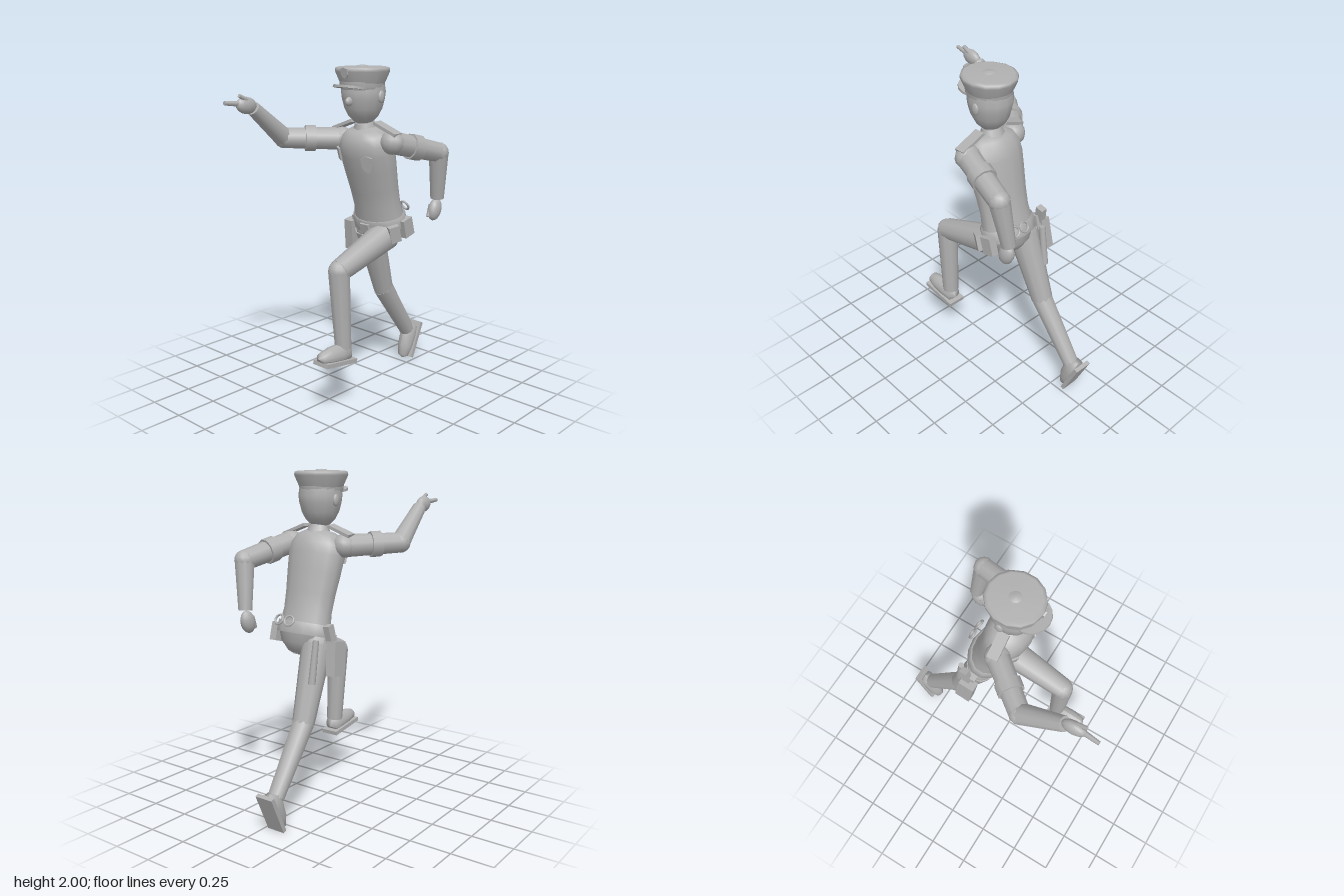
import * as THREE from 'three';

const V = (x, y, z) => new THREE.Vector3(x, y, z);

export function createModel() {
  const model = new THREE.Group();
  const grey = new THREE.MeshStandardMaterial({ color: 0xb0b0b0 });
  grey.name = 'grey';

  const add = (name, geo, pos = [0, 0, 0], rot = [0, 0, 0], parent = model) => {
    const mesh = new THREE.Mesh(geo, grey);
    mesh.name = name;
    mesh.position.set(...pos);
    mesh.rotation.set(...rot);
    parent.add(mesh);
    return mesh;
  };
  const box = (w, h, d) => new THREE.BoxGeometry(w, h, d);
  const ball = (x, y, z) => new THREE.SphereGeometry(1, 12, 8).scale(x, y, z);
  const lathe = (pts, depth = 1) =>
    new THREE.LatheGeometry(pts.map(p => new THREE.Vector2(...p)), 14).scale(1, 1, depth);
  // Aim a mesh's y axis from a to b
  const between = (name, geo, a, b) => {
    const mesh = add(name, geo, a.clone().add(b).multiplyScalar(0.5).toArray());
    mesh.quaternion.setFromUnitVectors(V(0, 1, 0), b.clone().sub(a).normalize());
    return mesh;
  };
  const tube = (name, a, b, r0, r1, sides = 10) =>
    between(name, new THREE.CylinderGeometry(r1, r0, a.distanceTo(b), sides), a, b);

  // Torso, leaning forward
  const body = new THREE.Group();
  body.name = 'body';
  body.position.set(0.055, 1.02, -0.165);
  body.rotation.x = 0.27;
  model.add(body);
  add('torso', lathe([[0.17, 0.05], [0.158, 0.17], [0.163, 0.27], [0.176, 0.4], [0.184, 0.5],
    [0.178, 0.56], [0.15, 0.61], [0.1, 0.64], [0, 0.66]], 0.72), [0, 0, 0], [0, 0, 0], body);
  add('hips', lathe([[0, -0.09], [0.07, -0.08], [0.14, -0.03], [0.17, 0.05]], 0.74),
    [0, 0, 0], [0, 0, 0], body);
  add('belt', lathe([[0.165, 0.025], [0.18, 0.025], [0.177, 0.095], [0.155, 0.095]], 0.75),
    [0, 0, 0], [0, 0, 0], body);
  add('buckle', box(0.066, 0.06, 0.02), [-0.005, 0.055, 0.135], [0, 0, 0], body);

  // Chest badge and name plate
  const shield = new THREE.Shape();
  shield.moveTo(0, 0.052);
  [[0.034, 0.038], [0.034, -0.012], [0.022, -0.036], [0, -0.052],
    [-0.022, -0.036], [-0.034, -0.012], [-0.034, 0.038]].forEach(p => shield.lineTo(...p));
  const shieldGeo = new THREE.ExtrudeGeometry(shield, { depth: 0.009, bevelEnabled: false });
  add('chestBadge', shieldGeo, [0.09, 0.47, 0.112], [0, 0.45, 0], body);
  add('namePlate', box(0.052, 0.075, 0.012), [-0.128, 0.515, 0.103], [0, -0.6, 0], body);

  // Pouches on the left of the belt
  add('frontPouch', box(0.045, 0.1, 0.065), [0.165, 0.02, 0.075], [0, -0.5, 0], body);
  add('sidePouch', box(0.045, 0.11, 0.08), [0.178, 0.02, -0.025], [0, 0, 0], body);

  // Handcuffs behind the belt
  for (const [i, x] of [0.005, 0.078].entries())
    add('handcuff', new THREE.TorusGeometry(0.03, 0.007, 6, 12),
      [x, 0.09, -0.155], [0.25, i ? -0.12 : 0.12, 0], body);

  // Holster, pistol grip and baton on the right
  add('holster', box(0.062, 0.2, 0.1), [-0.195, 0.94, -0.185], [0.15, 0, -0.08]);
  add('holsterLoop', box(0.04, 0.09, 0.06), [-0.15, 1.03, -0.18], [0.27, 0, 0]);
  add('pistolGrip', box(0.04, 0.1, 0.05), [-0.165, 1.085, -0.2], [-0.2, 0, -0.1]);
  tube('baton', V(-0.11, 0.8, -0.3), V(-0.115, 1.05, -0.265), 0.022, 0.018, 8);

  // Neck and collar
  tube('neck', V(0.052, 1.58, -0.03), V(0.052, 1.73, -0.005), 0.055, 0.05);
  tube('collar', V(0.052, 1.62, -0.02), V(0.052, 1.675, -0.01), 0.078, 0.058, 8);

  // Head
  const hx = 0.05;
  add('head', lathe([[0, 1.665], [0.05, 1.675], [0.085, 1.71], [0.108, 1.755], [0.122, 1.81],
    [0.127, 1.85], [0.12, 1.9]], 1.04), [hx, 0, 0]);
  add('nose', ball(0.018, 0.026, 0.03), [hx + 0.008, 1.8, 0.128]);
  for (const s of [-1, 1]) add('ear', ball(0.014, 0.036, 0.025), [hx + s * 0.122, 1.825, -0.015]);

  // Cap
  add('capBand', lathe([[0.118, 1.865], [0.124, 1.88], [0.126, 1.91]], 1.1), [hx, 0, 0.01]);
  add('capCrown', lathe([[0.124, 1.895], [0.154, 1.965], [0.152, 1.983], [0.135, 1.99], [0, 1.994]], 1.06),
    [hx, 0, 0.008]);
  add('capButton', lathe([[0.04, 1.985], [0.03, 1.998], [0, 2]]), [hx, 0, 0.008]);
  add('capVisor', new THREE.CylinderGeometry(0.105, 0.105, 0.014, 16).scale(1, 1, 0.95),
    [hx + 0.003, 1.877, 0.108], [-0.15, 0, 0]);
  add('capBadge', shieldGeo.clone().scale(0.7, 0.62, 1), [hx + 0.012, 1.96, 0.166], [0.2, 0, 0]);

  // Arms: shoulder, sleeve, sleeve band, forearm
  const arms = [
    { side: 'right', shoulder: V(-0.12, 1.565, 0.0), elbow: V(-0.335, 1.575, 0.27), wrist: V(-0.317, 1.765, 0.515), band: [0.46, 0.64] },
    { side: 'left', shoulder: V(0.245, 1.57, -0.03), elbow: V(0.325, 1.485, -0.365), wrist: V(0.292, 1.2, -0.405), band: [0.36, 0.56] },
  ];
  for (const { side, shoulder, elbow, wrist, band } of arms) {
    const at = t => shoulder.clone().lerp(elbow, t);
    add(side + 'Shoulder', ball(0.075, 0.07, 0.07), shoulder.toArray());
    tube(side + 'UpperArm', shoulder, elbow, 0.068, 0.06);
    tube(side + 'SleeveBand', at(band[0]), at(band[1]), 0.076, 0.076);
    add(side + 'Elbow', ball(0.061, 0.061, 0.061), elbow.toArray());
    tube(side + 'Forearm', elbow, wrist, 0.06, 0.042);
  }

  // Shoulder straps
  for (const [a, b] of [[V(-0.17, 1.625, 0), V(-0.03, 1.677, -0.01)], [V(0.295, 1.617, -0.02), V(0.14, 1.677, -0.015)]])
    between('shoulderStrap', box(0.018, a.distanceTo(b), 0.065), a, b);

  // Pointing right hand
  add('rightHand', ball(0.034, 0.048, 0.072), [-0.315, 1.785, 0.565], [-0.15, 0, 0]);
  tube('indexFinger', V(-0.312, 1.795, 0.59), V(-0.326, 1.806, 0.71), 0.017, 0.012, 6);
  tube('thumb', V(-0.302, 1.805, 0.55), V(-0.302, 1.842, 0.625), 0.015, 0.011, 6);

  // Closed left hand
  add('leftHand', ball(0.037, 0.07, 0.05), [0.29, 1.13, -0.387], [-0.35, 0, 0]);
  tube('leftThumb', V(0.275, 1.16, -0.37), V(0.28, 1.09, -0.335), 0.016, 0.012, 6);

  // Legs and shoes
  const shoeGeo = lathe([[0, -0.135], [0.034, -0.115], [0.05, -0.05], [0.052, 0.03], [0.045, 0.1], [0, 0.12]]);
  shoeGeo.rotateX(-Math.PI / 2);
  const p = shoeGeo.attributes.position;
  for (let i = 0; i < p.count; i++) {
    // Flat underside, low toe and high heel
    const z = p.getZ(i), y = p.getY(i);
    p.setY(i, y < 0 ? Math.max(y, -0.02) : y * (1.25 - 2.5 * z));
  }
  shoeGeo.computeVertexNormals();
  const legs = [
    { side: 'left', hip: V(0.135, 1.0, -0.12), knee: V(0.14, 0.86, 0.305), ankle: V(0.152, 0.39, 0.285), tilt: -0.15 },
    { side: 'right', hip: V(-0.05, 1.0, -0.17), knee: V(-0.07, 0.565, -0.33), ankle: V(-0.075, 0.2, -0.59), tilt: 1.15 },
  ];
  for (const { side, hip, knee, ankle, tilt } of legs) {
    add(side + 'Hip', ball(0.085, 0.085, 0.085), hip.toArray());
    tube(side + 'Thigh', hip, knee, 0.092, 0.065);
    add(side + 'Knee', ball(0.063, 0.063, 0.063), knee.toArray());
    tube(side + 'Shin', knee, ankle, 0.065, 0.05);
    const foot = new THREE.Group();
    foot.name = side + 'Foot';
    foot.position.copy(ankle);
    foot.rotation.x = tilt;
    add(side + 'Shoe', shoeGeo, [0, -0.04, 0.065], [0, 0, 0], foot);
    add(side + 'Sole', box(0.115, 0.025, 0.25), [0, -0.072, 0.055], [0, 0, 0], foot);
    model.add(foot);
  }
  return model;
}
